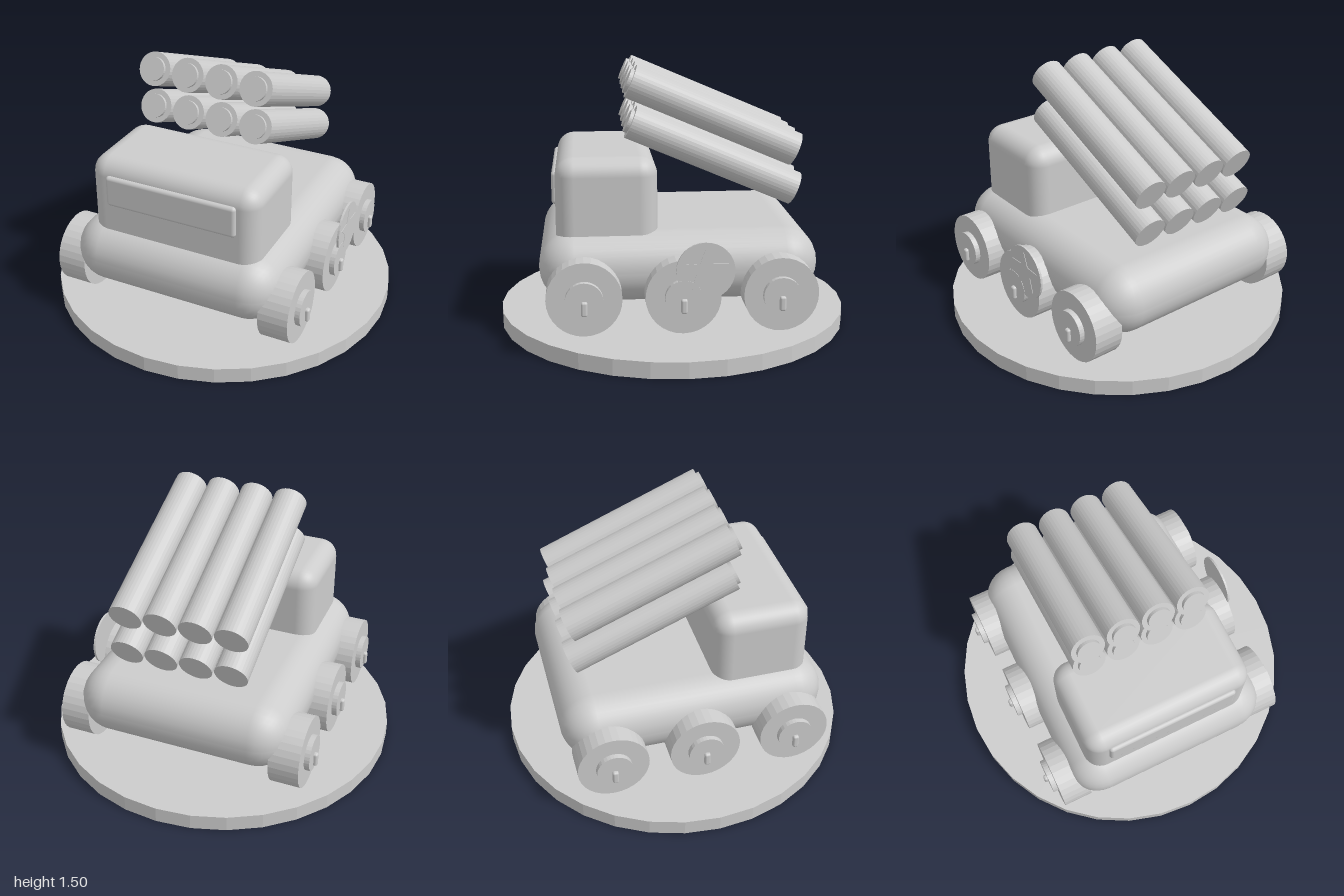
import * as THREE from 'three';
import { RoundedBoxGeometry } from 'three/addons/geometries/RoundedBoxGeometry.js';
import { toCreasedNormals } from 'three/addons/utils/BufferGeometryUtils.js';

const grey = new THREE.MeshStandardMaterial({ color: 0xcccccc });
grey.name = 'plain grey';

export function createModel() {
  const model = new THREE.Group();
  model.name = 'rocketTruck';

  const add = (parent, name, geometry, x, y, z) => {
    const mesh = new THREE.Mesh(geometry, grey);
    mesh.name = name;
    mesh.position.set(x, y, z);
    parent.add(mesh);
    return mesh;
  };
  // Faceted cylinder, upright by default
  const drum = (radius, height) =>
    toCreasedNormals(new THREE.CylinderGeometry(radius, radius, height, 32), 0.1);
  // Faceted cylinder lying along x
  const axleDrum = (radius, width) => drum(radius, width).rotateZ(Math.PI / 2);

  // Round display base
  add(model, 'base', drum(1, 0.09), 0, 0.045, 0);

  // Hull, cab and windscreen
  add(model, 'hull', new RoundedBoxGeometry(1.23, 0.39, 1.52, 4, 0.19), 0, 0.435, 0);
  add(model, 'cab', new RoundedBoxGeometry(1.0, 0.56, 0.55, 4, 0.1), 0, 0.75, 0.39);
  add(model, 'windscreen', new RoundedBoxGeometry(0.77, 0.18, 0.06, 3, 0.02), 0, 0.855, 0.655);

  // Six wheels, each with a hub and a small upright pin
  const tyreGeo = axleDrum(0.2, 0.17);
  const hubGeo = axleDrum(0.1, 0.06);
  const pinGeo = new RoundedBoxGeometry(0.05, 0.08, 0.034, 3, 0.012);
  for (const side of [-1, 1]) {
    for (const z of [0.52, 0, -0.52]) {
      const wheel = new THREE.Group();
      wheel.name = 'wheel';
      wheel.position.set(side * 0.62, 0.33, z);
      add(wheel, 'tyre', tyreGeo, 0, 0, 0);
      add(wheel, 'hub', hubGeo, side * 0.085, 0, 0);
      add(wheel, 'pin', pinGeo, side * 0.11, -0.038, 0);
      model.add(wheel);
    }
  }

  // Two rows of four launch tubes, raised towards the front
  const tubeLength = 0.985;
  const tubeGeo = drum(0.0935, tubeLength).rotateX(Math.PI / 2);
  const capGeo = drum(0.065, 0.06).rotateX(Math.PI / 2);
  for (const x of [-0.3, -0.1, 0.1, 0.3]) {
    for (const y of [1.005, 1.225]) {
      const tube = new THREE.Group();
      tube.name = 'launchTube';
      tube.position.set(x, y, -0.202);
      tube.rotation.x = -THREE.MathUtils.degToRad(23);
      add(tube, 'barrel', tubeGeo, 0, 0, 0);
      add(tube, 'cap', capGeo, 0, 0, tubeLength / 2 - 0.01);
      model.add(tube);
    }
  }

  // Round badge with a star on the left side
  const badge = new THREE.Group();
  badge.name = 'badge';
  badge.position.set(0.727, 0.477, -0.112);
  add(badge, 'badgeDisc', axleDrum(0.155, 0.012), 0, 0, 0);
  const points = [];
  for (let i = 0; i < 10; i++) {
    const r = i % 2 ? 0.052 : 0.125;
    const a = Math.PI / 2 + (i * Math.PI) / 5;
    points.push(new THREE.Vector2(r * Math.cos(a), r * Math.sin(a)));
  }
  const starGeo = new THREE.ExtrudeGeometry(new THREE.Shape(points), { depth: 0.004, bevelEnabled: false });
  add(badge, 'star', starGeo.rotateY(Math.PI / 2), 0.005, 0, 0);
  model.add(badge);

  return model;
}
